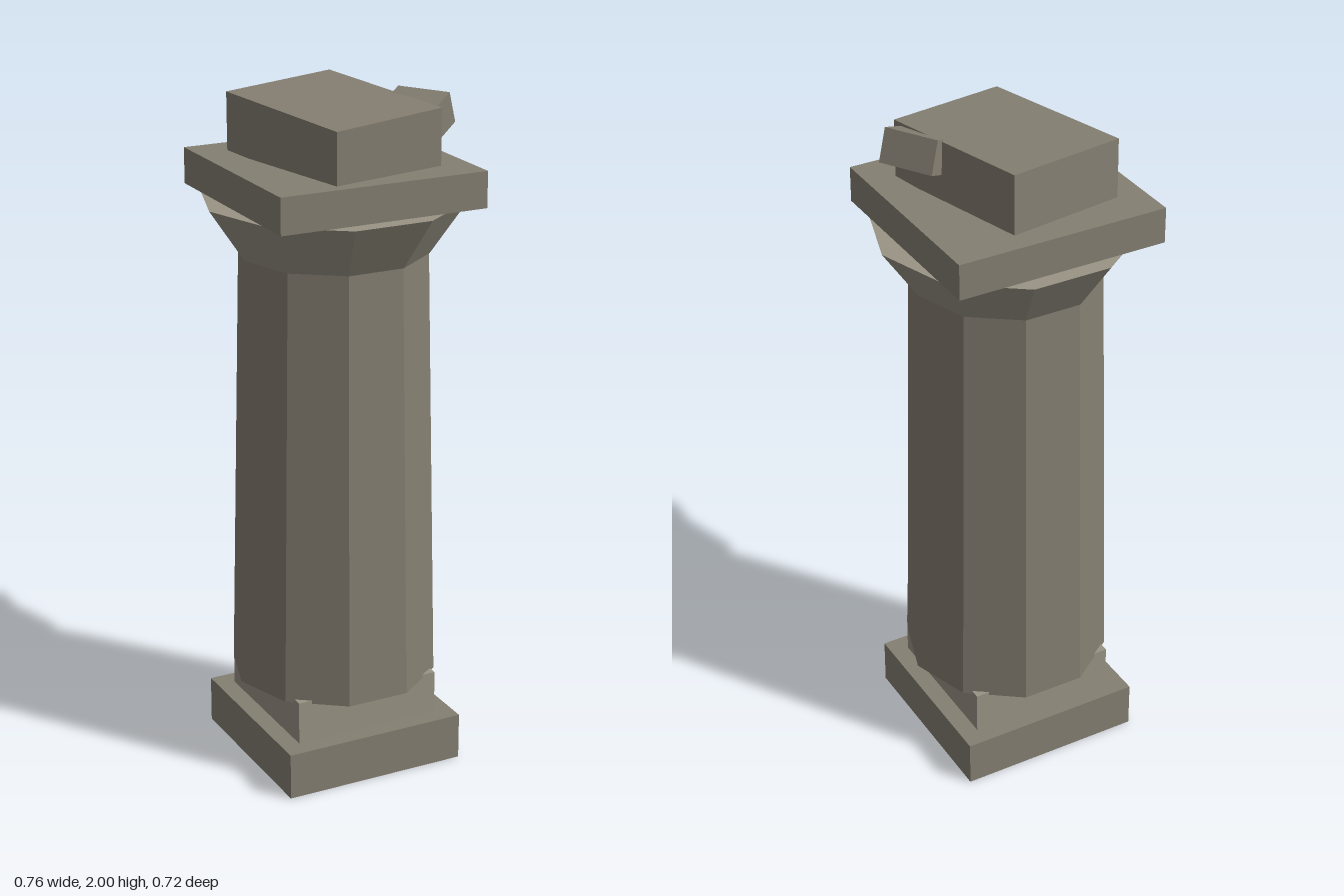
import * as THREE from 'three';

const SIDES = 10;

export function createModel() {
  const model = new THREE.Group();
  model.name = 'brokenColumn';
  const stone = new THREE.MeshStandardMaterial({ color: 0x857f72, flatShading: true });
  const paleStone = new THREE.MeshStandardMaterial({ color: 0x9a9486, flatShading: true });

  const add = (name, geometry, y, material = stone) => {
    const mesh = new THREE.Mesh(geometry, material);
    mesh.name = name;
    mesh.position.y = y;
    model.add(mesh);
    return mesh;
  };
  // Square slab from y0 to y1
  const slab = (name, width, y0, y1, material) =>
    add(name, new THREE.BoxGeometry(width, y1 - y0, width), (y0 + y1) / 2, material);
  // Ten-sided drum with a corner pointing along x
  const drum = (name, rBottom, rTop, y0, y1, material) =>
    add(name, new THREE.CylinderGeometry(rTop, rBottom, y1 - y0, SIDES, 1, false, Math.PI / 2),
      (y0 + y1) / 2, material);
  // Loose stone: turned about y, then tilted
  const rubble = (name, size, position, tiltX, turnY, tiltZ) => {
    const mesh = add(name, new THREE.BoxGeometry(...size), 0);
    mesh.position.set(...position);
    mesh.rotation.set(tiltX, turnY, tiltZ, 'YXZ');
  };

  // Foot
  slab('base', 0.56, 0, 0.14);
  slab('plinth', 0.45, 0.14, 0.27, paleStone);

  // Tapered shaft and flared capital
  drum('shaft', 0.305, 0.273, 0.26, 1.555);
  drum('capital', 0.275, 0.38, 1.55, 1.705, paleStone);
  slab('abacus', 0.63, 1.705, 1.81);

  // Broken stones resting on top
  rubble('brokenBlock', [0.367, 0.17, 0.496], [-0.002, 1.895, 0.004], 0.05, 0.2, 0.04);
  rubble('stoneChip', [0.089, 0.096, 0.164], [0.224, 1.937, 0.088], 0, 0.546, 0.37);

  return model;
}
